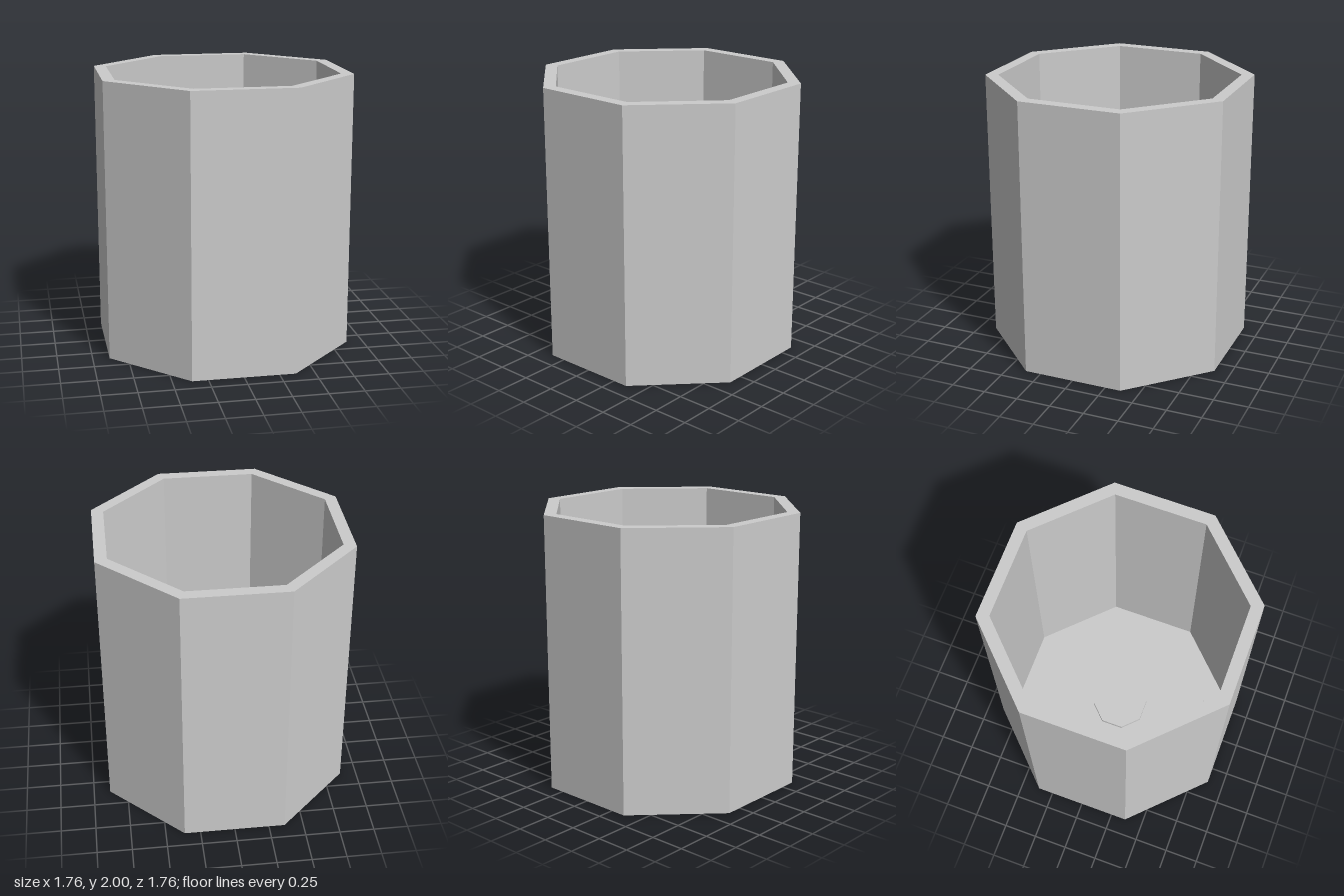
import * as THREE from 'three';

const SIDES = 8;
const material = new THREE.MeshStandardMaterial({ color: 0xcccccc, flatShading: true });

// Octagonal solid of revolution; profile is [flat-to-centre distance, y]
function octagonal(name, profile) {
  const toCorner = 1 / Math.cos(Math.PI / SIDES);
  const points = profile.map(([r, y]) => new THREE.Vector2(r * toCorner, y));
  const mesh = new THREE.Mesh(
    new THREE.LatheGeometry(points, SIDES, Math.PI / SIDES),
    material
  );
  mesh.name = name;
  return mesh;
}

export function createModel() {
  const group = new THREE.Group();
  group.name = 'octagonalPot';

  // Closed underside, outer wall, flat rim, inner wall and floor
  group.add(octagonal('potShell', [
    [0, 0], [0.88, 0], [0.88, 2], [0.795, 2], [0.795, 0.02], [0, 0.02],
  ]));

  // Low concentric steps on the inner floor
  group.add(octagonal('floorStep', [[0.63, 0.02], [0.63, 0.05], [0, 0.05]]));
  group.add(octagonal('floorCentre', [[0.197, 0.05], [0.197, 0.08], [0, 0.08]]));

  return group;
}
